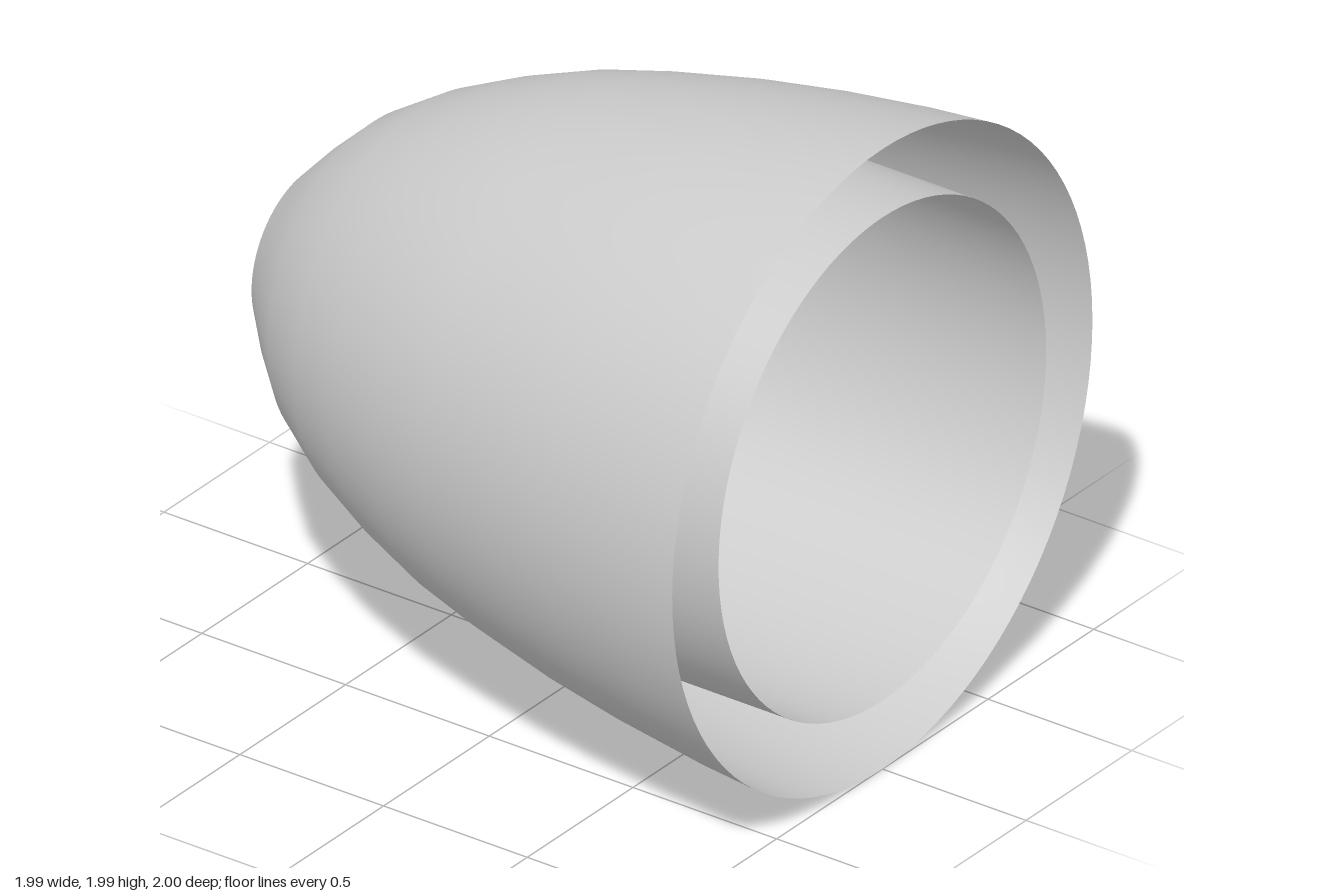
import * as THREE from 'three';

const SEGMENTS = 96;
const RADIUS = 0.994;

export function createModel() {
  const group = new THREE.Group();
  const material = new THREE.MeshStandardMaterial({ color: 0xcccccc, side: THREE.DoubleSide });

  // Turn a [radius, z] profile, listed back to front, around the z axis
  function addTurned(name, profile) {
    const points = profile.map(([r, z]) => new THREE.Vector2(r, z));
    const geometry = new THREE.LatheGeometry(points, SEGMENTS);
    geometry.rotateX(Math.PI / 2);
    const mesh = new THREE.Mesh(geometry, material);
    mesh.name = name;
    mesh.position.y = RADIUS;
    group.add(mesh);
  }

  // Thin bell-shaped shell, open at the front and with a round hole at the back
  addTurned('outerShell', [
    [0.265, -1], [0.385, -0.89], [0.5, -0.77], [0.61, -0.6], [0.7, -0.41], [0.78, -0.2],
    [0.835, 0], [0.898, 0.28], [0.941, 0.53], [0.977, 0.81], [RADIUS, 1],
  ]);

  // Straight thin sleeve, flush with the front rim and running back to the shell wall
  addTurned('innerSleeve', [[0.775, -0.21], [0.775, 1]]);

  return group;
}
